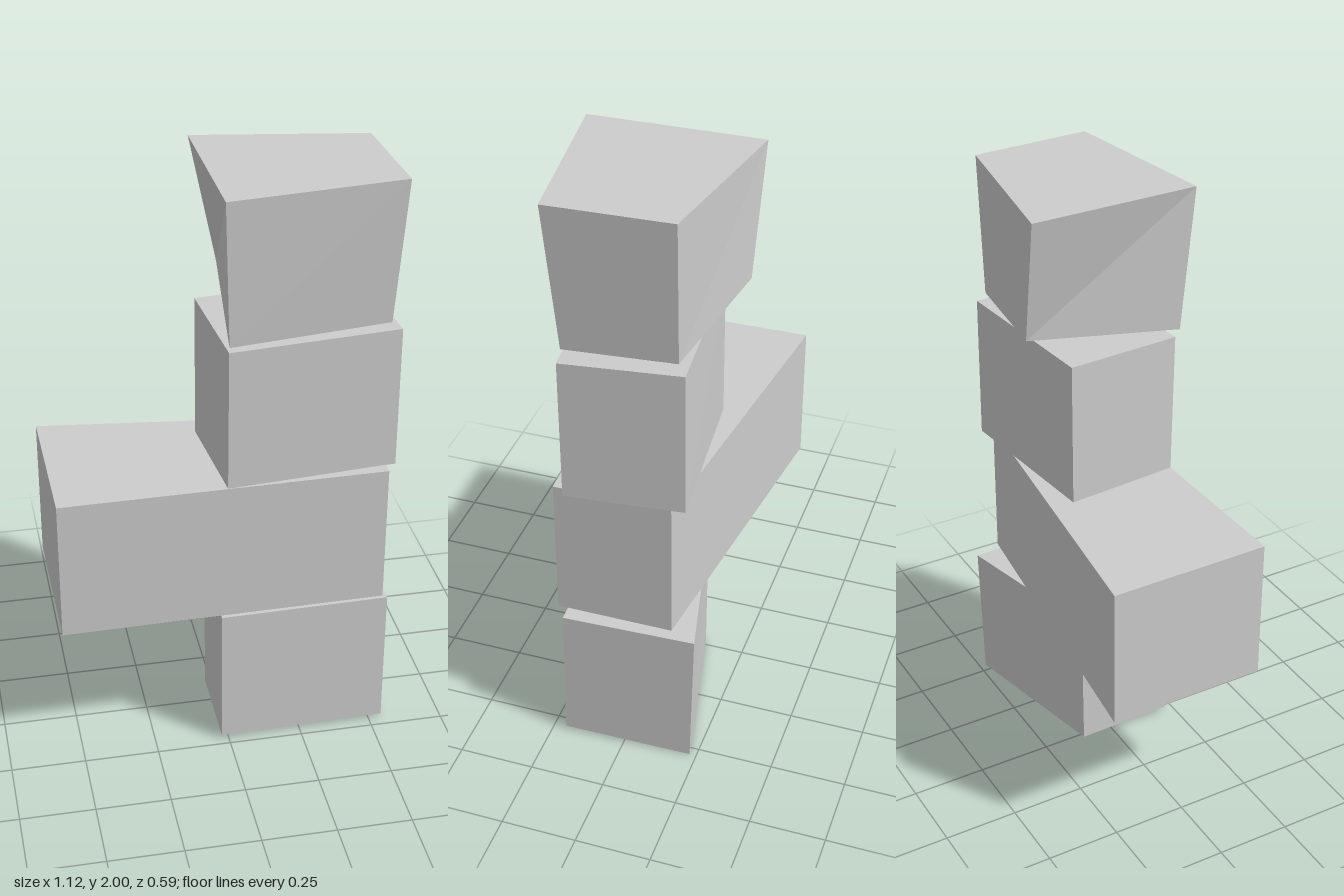
import * as THREE from 'three';

const stone = new THREE.MeshStandardMaterial({ color: 0xcccccc });
stone.name = 'plain grey';

// A box whose eight corners are moved to slightly uneven places.
// Corners run: right back, left back, right front, left front (left is +x).
function block(name, bottom, top) {
  const box = new THREE.BoxGeometry(1, 1, 1);
  const pos = box.attributes.position;
  for (let i = 0; i < pos.count; i++) {
    const ring = pos.getY(i) > 0 ? top : bottom;
    const corner = (pos.getX(i) > 0 ? 1 : 0) + (pos.getZ(i) > 0 ? 2 : 0);
    pos.setXYZ(i, ...ring[corner]);
  }
  const geometry = box.toNonIndexed();
  geometry.computeVertexNormals();
  const mesh = new THREE.Mesh(geometry, stone);
  mesh.name = name;
  return mesh;
}

export function createModel() {
  const model = new THREE.Group();
  model.name = 'stackedBlocks';
  model.add(
    // foot of the stack
    block('baseBlock',
      [[-0.02, 0.003, -0.11], [0.53, 0, -0.227], [-0.024, 0.013, 0.22], [0.545, 0.01, 0.206]],
      [[-0.02, 0.497, -0.115], [0.53, 0.495, -0.24], [-0.024, 0.5, 0.216], [0.547, 0.497, 0.2]]),
    // long block reaching out to one side
    block('longBlock',
      [[-0.56, 0.523, -0.293], [0.523, 0.523, -0.162], [-0.556, 0.523, 0.243], [0.523, 0.523, 0.223]],
      [[-0.56, 1.006, -0.294], [0.523, 1.006, -0.162], [-0.556, 1.006, 0.243], [0.523, 1.006, 0.223]]),
    // block above the long one
    block('upperBlock',
      [[-0.042, 1.007, -0.153], [0.52, 1.007, -0.207], [-0.008, 1.007, 0.232], [0.556, 1.005, 0.178]],
      [[-0.042, 1.497, -0.153], [0.52, 1.5, -0.205], [-0.008, 1.49, 0.24], [0.556, 1.49, 0.18]]),
    // flared block at the top with one raised lower corner
    block('topBlock',
      [[0.05, 1.575, -0.262], [0.505, 1.53, -0.18], [-0.01, 1.515, 0.255], [0.52, 1.517, 0.18]],
      [[-0.037, 2, -0.277], [0.53, 2, -0.184], [-0.03, 2, 0.291], [0.545, 2, 0.217]])
  );
  return model;
}
